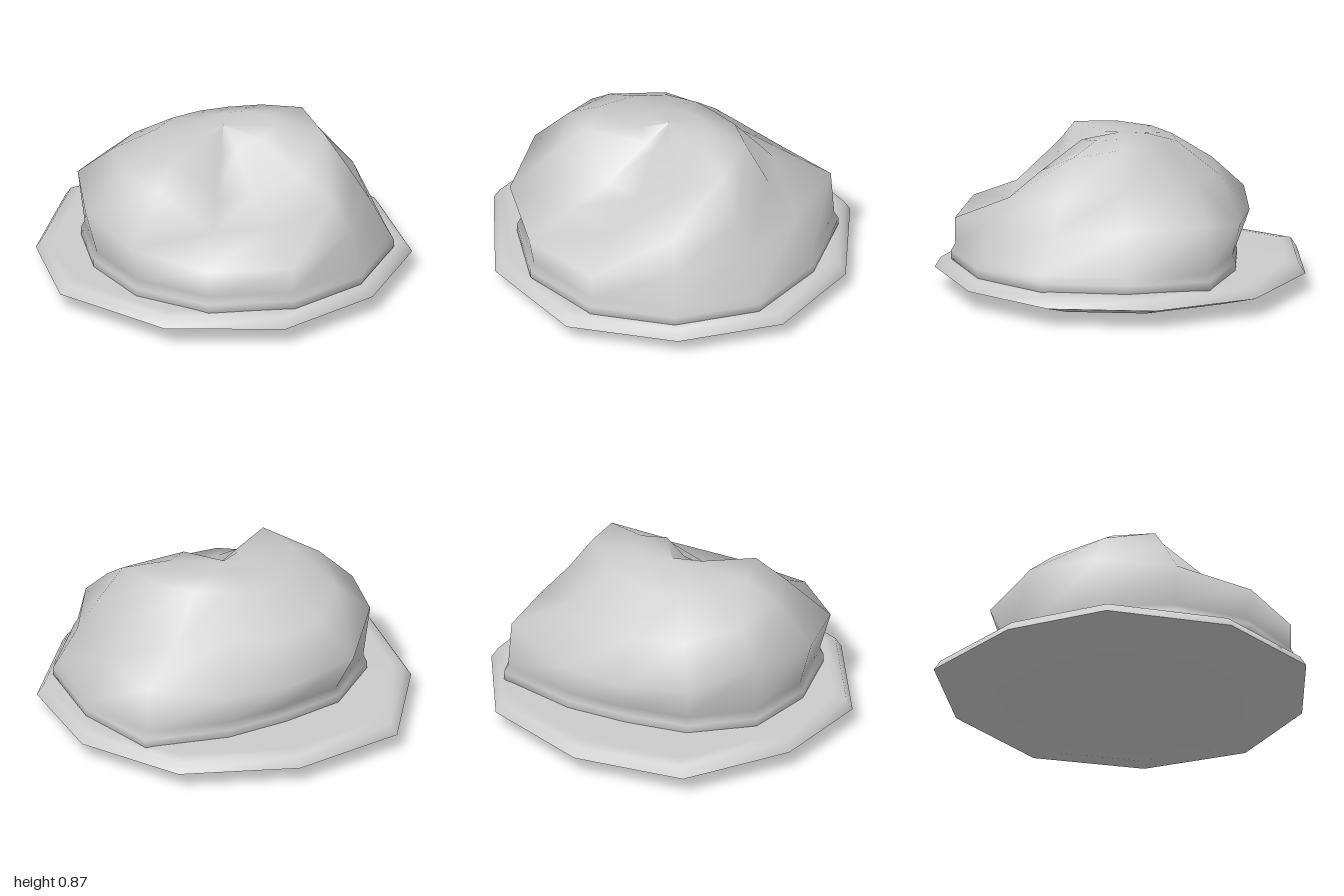
import * as THREE from 'three';

// Skin a list of closed loops (each a list of [x, y, z]) with shared, smooth vertices.
function loft(name, loops, material) {
  const n = loops[0].length;
  const index = [];
  for (let i = 0; i < loops.length - 1; i++) {
    for (let j = 0; j < n; j++) {
      const k = (j + 1) % n;
      const a = i * n + j, b = i * n + k, c = a + n, d = b + n;
      index.push(a, c, b, b, c, d);
    }
  }
  const geometry = new THREE.BufferGeometry();
  geometry.setAttribute('position', new THREE.Float32BufferAttribute(loops.flat(2), 3));
  geometry.setIndex(index);
  geometry.computeVertexNormals();
  const mesh = new THREE.Mesh(geometry, material);
  mesh.name = name;
  return mesh;
}

// Uneven ten-sided outline of the plate, [x, z]
const outline = [
  [1, -0.09], [0.84, 0.47], [0.41, 0.9], [-0.23, 0.95], [-0.82, 0.59],
  [-1, 0.04], [-0.9, -0.59], [-0.37, -0.92], [0.28, -0.96], [0.78, -0.62],
];
const plateLoop = ([s, y]) => outline.map(([x, z]) => [x * s, y, z * s]);

// Radii and heights of the mound every 30 degrees, from +x round by the front (+z)
const base = [0.92, 0.91, 0.91, 0.88, 0.82, 0.77, 0.77, 0.70, 0.63, 0.70, 0.91, 0.88];
const rings = [
  { // bulging shoulder
    r: [0.78, 0.83, 0.88, 0.88, 0.85, 0.81, 0.78, 0.78, 0.69, 0.72, 0.86, 0.76],
    y: [0.45, 0.45, 0.39, 0.41, 0.45, 0.50, 0.54, 0.46, 0.42, 0.42, 0.50, 0.47],
  },
  { // upper slope, sunken at the front
    r: [0.68, 0.70, 0.57, 0.62, 0.60, 0.60, 0.60, 0.58, 0.52, 0.46, 0.55, 0.60],
    y: [0.61, 0.58, 0.49, 0.52, 0.69, 0.72, 0.68, 0.64, 0.62, 0.63, 0.62, 0.66],
  },
  { // crest, with a lump at front right and a peak at back left
    r: [0.54, 0.50, 0.35, 0.38, 0.45, 0.43, 0.36, 0.33, 0.30, 0.28, 0.35, 0.46],
    y: [0.82, 0.70, 0.59, 0.60, 0.82, 0.81, 0.81, 0.80, 0.80, 0.82, 0.83, 0.86],
  },
  { // inner top
    r: [0.28, 0.24, 0.16, 0.14, 0.16, 0.16, 0.15, 0.15, 0.15, 0.15, 0.18, 0.24],
    y: [0.86, 0.84, 0.78, 0.77, 0.82, 0.83, 0.83, 0.83, 0.84, 0.85, 0.86, 0.865],
  },
];
const moundLoop = (r, y) => r.map((radius, j) => {
  const a = j * Math.PI / 6;
  return [radius * Math.cos(a), y[j], radius * Math.sin(a)];
});
const baseLoop = ([s, y]) => moundLoop(base.map((r) => r * s), base.map(() => y));

export function createModel() {
  const group = new THREE.Group();
  group.name = 'plateWithMound';
  const material = new THREE.MeshStandardMaterial({ color: 0xcccccc, side: THREE.DoubleSide });

  // Shallow dish: curved underside and bevelled rim
  group.add(loft('plateUnderside', [[0, 0], [0.5, 0.005], [0.75, 0.03], [1, 0.1]].map(plateLoop), material));
  group.add(loft('plateTop', [[1, 0.1], [0.965, 0.155], [0.9, 0.165], [0, 0.17]].map(plateLoop), material));

  // Lumpy mound with a rounded lip where it meets the plate
  const loops = [[0.96, 0.13], [0.99, 0.17], [0.99, 0.21], [0.965, 0.25]].map(baseLoop);
  rings.forEach(({ r, y }) => loops.push(moundLoop(r, y)));
  loops.push(moundLoop(base.map(() => 0), base.map(() => 0.85)));
  group.add(loft('mound', loops, material));

  return group;
}
